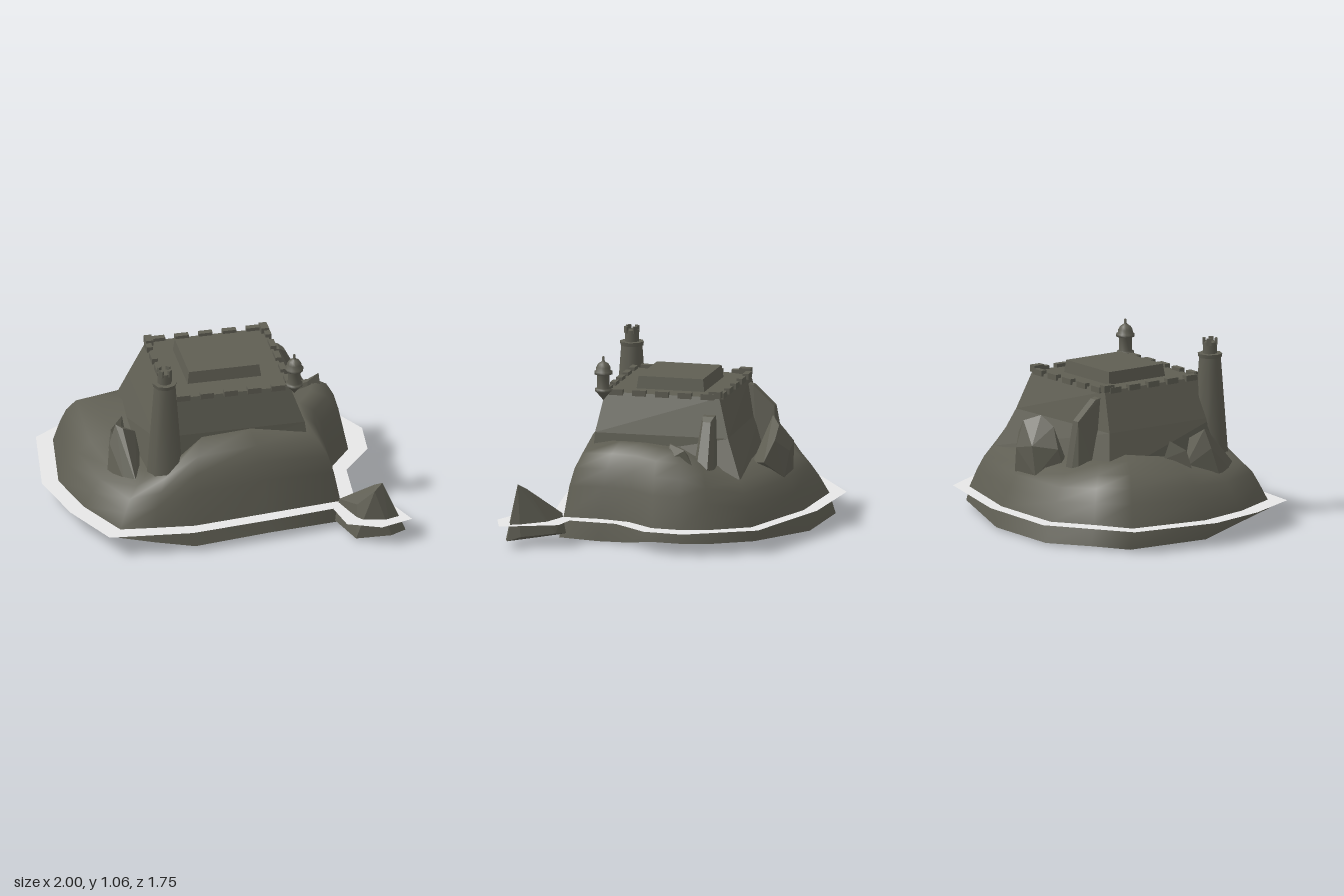
import * as THREE from 'three';
import { ConvexGeometry } from 'three/addons/geometries/ConvexGeometry.js';

const stone = new THREE.MeshStandardMaterial({ color: 0x5f5e53, side: THREE.DoubleSide });
stone.name = 'stone';
const foam = new THREE.MeshStandardMaterial({ color: 0xe8e8e8, side: THREE.DoubleSide });
foam.name = 'foam';

const WATER = 0.13;

// Joins loops of points (bottom to top, clockwise from above) and closes the top
function loft(loops, flat = true) {
  const n = loops[0].length;
  const pos = loops.flat(2);
  const idx = [];
  for (let r = 0; r < loops.length - 1; r++) {
    for (let i = 0; i < n; i++) {
      const j = (i + 1) % n, a = r * n, b = a + n;
      idx.push(a + j, a + i, b + i, a + j, b + i, b + j);
    }
  }
  const top = loops[loops.length - 1];
  const c = [0, 1, 2].map((k) => top.reduce((s, p) => s + p[k], 0) / n);
  pos.push(...c);
  const base = (loops.length - 1) * n;
  for (let i = 0; i < n; i++) idx.push(loops.length * n, base + ((i + 1) % n), base + i);
  let g = new THREE.BufferGeometry();
  g.setAttribute('position', new THREE.Float32BufferAttribute(pos, 3));
  g.setIndex(idx);
  if (flat) g = g.toNonIndexed();
  g.computeVertexNormals();
  return g;
}

const rect = (x0, x1, z0, z1, y) => [[x0, y, z0], [x1, y, z0], [x1, y, z1], [x0, y, z1]];

export function createModel() {
  const model = new THREE.Group();
  model.name = 'islandFort';
  const add = (name, geo, x = 0, y = 0, z = 0, parent = model, mat = stone) => {
    const m = new THREE.Mesh(geo, mat);
    m.name = name;
    m.position.set(x, y, z);
    parent.add(m);
    return m;
  };
  const rock = (name, pts) => add(name, new ConvexGeometry(pts.map((p) => new THREE.Vector3(...p))));

  // Hill: waterline x, z, shoulder scale, shoulder height, height of the ragged foot
  const coast = [
    [-0.90, -0.05, 0.62, 0.42, 0.02], [-0.83, -0.52, 0.74, 0.47, 0.01],
    [-0.62, -0.64, 0.70, 0.44, 0.01], [-0.40, -0.79, 0.60, 0.42, 0.01],
    [0.10, -0.77, 0.62, 0.42, 0.01], [0.64, -0.60, 0.70, 0.42, 0.05],
    [0.78, -0.38, 0.73, 0.49, 0.05], [0.82, -0.22, 0.76, 0.56, 0.05],
    [0.81, -0.05, 0.72, 0.56, 0.05], [0.68, 0.12, 0.72, 0.56, 0.01],
    [0.64, 0.30, 0.74, 0.56, 0], [0.64, 0.52, 0.70, 0.55, 0.01],
    [0.20, 0.57, 0.67, 0.595, 0.015], [-0.24, 0.62, 0.62, 0.575, 0.01],
    [-0.47, 0.595, 0.70, 0.44, 0.045], [-0.67, 0.57, 0.68, 0.39, 0.08],
    [-0.82, 0.27, 0.62, 0.38, 0.07],
  ];
  const ring = (t, fy) => coast.map(([x, z, s, h]) => {
    const k = 1 + (s - 1) * t;
    return [x * k, fy(h), z * k];
  });
  const foot = coast.map(([x, z, , , y]) => {
    const k = 1 - y / WATER;
    return [x * (1 + 0.014 * k), y, z * (1 + 0.05 * k)];
  });
  add('hill', loft([
    foot,
    ring(0, () => WATER),
    ring(0.17, (h) => 0.56 * h),
    ring(0.32, (h) => 0.74 * h),
    ring(0.55, (h) => 0.89 * h),
    ring(1, (h) => h),
  ], false));

  // Surf: flat band around the coast
  const surf = new THREE.Shape([
    [-1, -0.04], [-0.92, -0.57], [-0.45, -0.88], [0.10, -0.85], [0.72, -0.66], [0.94, -0.27],
    [0.92, -0.03], [0.75, 0.18], [0.73, 0.46], [0.87, 0.49], [1, 0.81], [0.81, 0.87],
    [0.62, 0.79], [0.58, 0.60], [0.20, 0.65], [-0.27, 0.70], [-0.75, 0.65], [-0.91, 0.32],
  ].map(([x, z]) => new THREE.Vector2(x, -z)));
  surf.holes.push(new THREE.Path(coast.map(([x, z]) => new THREE.Vector2(x * 0.99, -z * 0.99))));
  add('surf', new THREE.ShapeGeometry(surf).rotateX(-Math.PI / 2), 0, WATER, 0, model, foam);

  // Fort walls and raised roof
  const fort = new THREE.Group();
  fort.name = 'fort';
  model.add(fort);
  add('walls', loft([
    [[-0.51, 0.36, -0.45], [0.52, 0.38, -0.50], [0.48, 0.44, 0.39], [-0.47, 0.36, 0.39]],
    [[-0.42, 0.60, -0.38], [0.445, 0.60, -0.41], [0.46, 0.60, 0.38], [-0.42, 0.60, 0.38]],
    rect(-0.32, 0.38, -0.34, 0.34, 0.825),
  ]), 0, 0, 0, fort);
  add('raisedRoof', loft([
    rect(-0.19, 0.245, -0.215, 0.19, 0.82),
    rect(-0.18, 0.235, -0.205, 0.18, 0.897),
  ]), 0, 0, 0, fort);

  // Parapet: low merlons slightly overhanging all four sides
  for (let i = 0; i < 5; i++) {
    const u = (i + 0.5) / 5;
    for (const z of [-0.34, 0.34]) {
      add('merlon', new THREE.BoxGeometry(0.08, 0.034, 0.035), -0.32 + 0.70 * u, 0.828, z, fort);
    }
    for (const x of [-0.32, 0.38]) {
      add('merlon', new THREE.BoxGeometry(0.035, 0.034, 0.08), x, 0.828, -0.34 + 0.68 * u, fort);
    }
  }
  for (const x of [-0.31, 0.37]) {
    add('cornerMerlon', new THREE.BoxGeometry(0.045, 0.04, 0.07), x, 0.84, -0.315, fort);
  }

  // Corner tower
  const tower = new THREE.Group();
  tower.name = 'tower';
  tower.position.set(-0.367, 0, 0.38);
  model.add(tower);
  const drum = (name, rt, rb, y0, y1) =>
    add(name, new THREE.CylinderGeometry(rt, rb, y1 - y0, 8), 0, (y0 + y1) / 2, 0, tower);
  drum('towerShaft', 0.063, 0.107, 0.36, 0.95);
  drum('towerCornice', 0.072, 0.068, 0.945, 0.968);
  drum('towerTurret', 0.042, 0.042, 0.965, 1.035);
  for (let i = 0; i < 4; i++) {
    const a = ((i + 0.5) * Math.PI) / 2;
    const m = add('turretMerlon', new THREE.BoxGeometry(0.028, 0.04, 0.014),
      Math.sin(a) * 0.036, 1.038, Math.cos(a) * 0.036, tower);
    m.rotation.y = a;
  }

  // Corbelled sentry box with dome and finial
  const profile = [
    [0, 0.78], [0.042, 0.83], [0.05, 0.835], [0.05, 0.848], [0.037, 0.852], [0.037, 0.93],
    [0.054, 0.935], [0.054, 0.95], [0.044, 0.955], [0.042, 0.975], [0.03, 0.995], [0.014, 1.005],
    [0.008, 1.012], [0.007, 1.035], [0, 1.04],
  ].map(([r, y]) => new THREE.Vector2(r, y));
  add('sentryBox', new THREE.LatheGeometry(profile, 12), 0.405, 0, 0.345);

  // Buttresses on the left and back walls
  rock('sideButtress', [
    [0.38, 0.73, -0.255], [0.38, 0.73, -0.33], [0.45, 0.725, -0.258], [0.45, 0.725, -0.328],
    [0.485, 0.70, -0.27], [0.485, 0.70, -0.316], [0.42, 0.44, -0.235], [0.42, 0.44, -0.36],
    [0.57, 0.44, -0.237], [0.57, 0.44, -0.357], [0.615, 0.44, -0.265], [0.615, 0.44, -0.33],
  ]);
  rock('backButtress', [
    [-0.29, 0.785, -0.34], [-0.235, 0.785, -0.34], [-0.285, 0.775, -0.38], [-0.235, 0.775, -0.38],
    [-0.285, 0.66, -0.505], [-0.235, 0.66, -0.505], [-0.34, 0.36, -0.42], [-0.18, 0.36, -0.42],
    [-0.32, 0.36, -0.53], [-0.20, 0.36, -0.53], [-0.29, 0.36, -0.56], [-0.23, 0.36, -0.56],
  ]);

  // Boulders and crags
  rock('backBoulder', [
    [-0.16, 0.36, -0.52], [-0.15, 0.48, -0.55], [-0.08, 0.60, -0.53], [0.0, 0.66, -0.56],
    [0.09, 0.62, -0.62], [0.15, 0.54, -0.61], [0.21, 0.42, -0.56], [0.12, 0.40, -0.47],
    [-0.12, 0.38, -0.46], [-0.06, 0.50, -0.67], [0.08, 0.47, -0.68], [-0.08, 0.32, -0.66],
    [0.12, 0.32, -0.66],
  ]);
  rock('westCrag', [
    [-0.67, 0.33, 0.22], [-0.65, 0.48, 0.18], [-0.61, 0.59, 0.16], [-0.575, 0.58, 0.20],
    [-0.49, 0.52, 0.14], [-0.46, 0.34, 0.18], [-0.50, 0.34, 0.34], [-0.54, 0.32, 0.44],
    [-0.60, 0.32, 0.36], [-0.56, 0.36, 0.05],
  ]);
  rock('westStone', [
    [-0.63, 0.36, 0.06], [-0.61, 0.48, 0.03], [-0.53, 0.53, -0.03], [-0.51, 0.42, -0.06],
    [-0.51, 0.36, 0.04], [-0.58, 0.36, 0.09],
  ]);
  rock('eastCrag', [
    [0.50, 0.57, -0.08], [0.58, 0.58, -0.10], [0.67, 0.565, -0.21], [0.66, 0.50, -0.10],
    [0.58, 0.46, -0.04], [0.66, 0.46, -0.26], [0.52, 0.47, -0.22],
  ]);

  // Sea stack off the front corner
  rock('seaStack', [
    [0.60, 0.02, 0.54], [0.63, 0.15, 0.53], [0.68, 0.01, 0.76], [0.66, 0.04, 0.50],
    [0.78, 0.06, 0.53], [0.80, 0.32, 0.70], [0.84, 0.35, 0.74], [0.79, 0.31, 0.76],
    [0.88, 0.21, 0.75], [0.97, 0.04, 0.77], [0.88, 0.03, 0.80], [0.93, 0.06, 0.70],
    [0.70, 0.20, 0.70],
  ]);

  return model;
}
